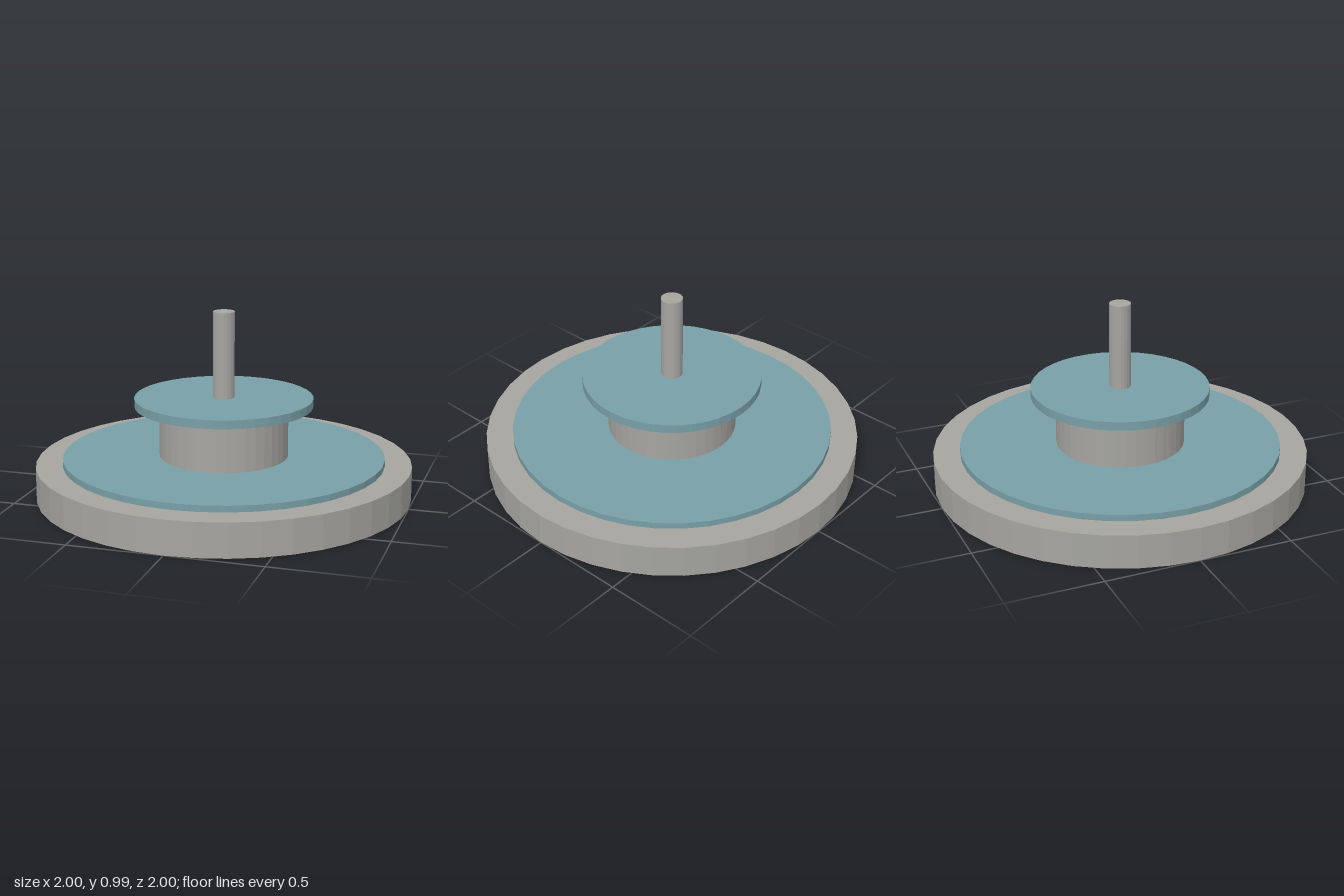
import * as THREE from 'three';

export function createModel() {
  const model = new THREE.Group();
  const grey = new THREE.MeshStandardMaterial({ color: 0xa6a5a0, flatShading: true });
  grey.name = 'warm grey';
  const blue = new THREE.MeshStandardMaterial({ color: 0x789fa7, flatShading: true });
  blue.name = 'dusty blue';

  // Stacked discs: name, radius, bottom, top, sides, material
  const parts = [
    ['base', 1, 0, 0.18, 40, grey],
    ['lowerPlate', 0.857, 0.18, 0.214, 40, blue],
    ['hub', 0.343, 0.214, 0.484, 40, grey],
    ['upperPlate', 0.474, 0.484, 0.53, 40, blue],
    ['spindle', 0.057, 0.53, 0.99, 20, grey],
  ];
  for (const [name, radius, bottom, top, sides, material] of parts) {
    const geometry = new THREE.CylinderGeometry(radius, radius, top - bottom, sides);
    const mesh = new THREE.Mesh(geometry, material);
    mesh.name = name;
    mesh.position.y = (bottom + top) / 2;
    model.add(mesh);
  }
  return model;
}
